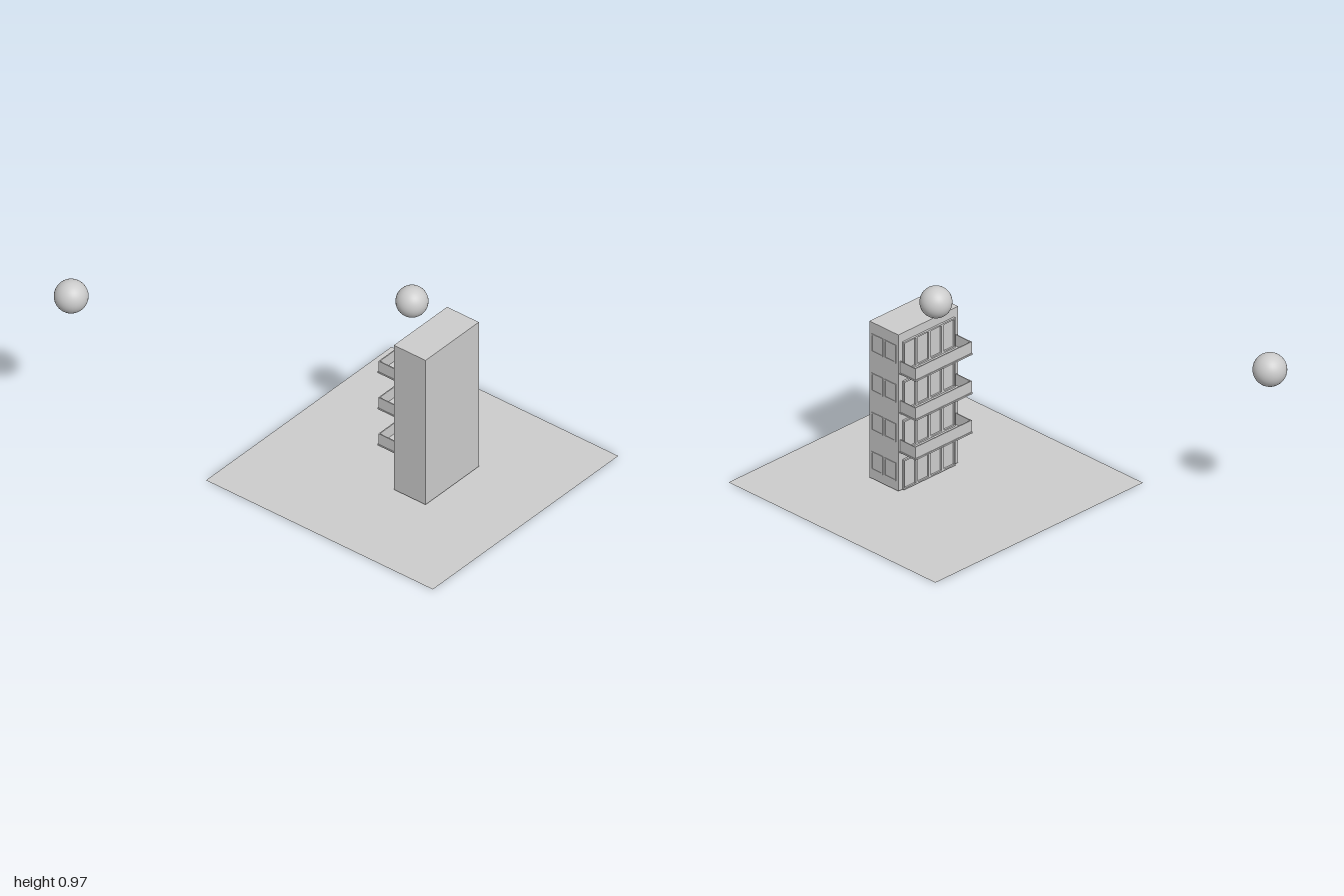
import * as THREE from 'three';

const grey = new THREE.MeshStandardMaterial({ color: 0xcccccc });
const greyDouble = new THREE.MeshStandardMaterial({ color: 0xcccccc, side: THREE.DoubleSide });

function add(parent, name, geometry, x, y, z, material = grey) {
  const mesh = new THREE.Mesh(geometry, material);
  mesh.name = name;
  mesh.position.set(x, y, z);
  parent.add(mesh);
  return mesh;
}

// Box given by its lower and upper corners
function box(parent, name, [x0, y0, z0], [x1, y1, z1]) {
  const geometry = new THREE.BoxGeometry(x1 - x0, y1 - y0, z1 - z0);
  return add(parent, name, geometry, (x0 + x1) / 2, (y0 + y1) / 2, (z0 + z1) / 2);
}

// Rectangular frame with an opening, centred in x and y, its back on z = 0
function frameGeometry(w, h, border, depth) {
  const rect = (path, a, b) => path.moveTo(-a, -b).lineTo(a, -b).lineTo(a, b).lineTo(-a, b).closePath();
  const shape = rect(new THREE.Shape(), w / 2, h / 2);
  shape.holes.push(rect(new THREE.Path(), w / 2 - border, h / 2 - border));
  return new THREE.ExtrudeGeometry(shape, { depth, bevelEnabled: false });
}

export function createModel() {
  const model = new THREE.Group();
  model.name = 'apartmentScene';

  const cx = 0.103, left = 0.286, right = -0.08, back = 0.41, front = 0.588;
  const base = 0.01, top = 0.786, storey = 0.195;

  // Ground sheet
  const ground = new THREE.PlaneGeometry(1.274, 1.274).rotateX(-Math.PI / 2);
  add(model, 'ground', ground, cx, 0, 0.363, greyDouble);

  // Main block
  box(model, 'buildingBlock', [right, base, back], [left, top, front]);

  const doorFrame = frameGeometry(0.079, 0.148, 0.007, 0.01);
  const windowFrame = frameGeometry(0.07, 0.09, 0.006, 0.003);

  for (let floor = 0; floor < 4; floor++) {
    const y = base + floor * storey;
    const storeyGroup = new THREE.Group();
    storeyGroup.name = 'storey';
    model.add(storeyGroup);

    // Row of four glazed doors on the back
    for (let i = 0; i < 4; i++) {
      const x = cx + (i - 1.5) * 0.079;
      const frame = add(storeyGroup, 'doorFrame', doorFrame, x, y + 0.074, back);
      frame.rotation.y = Math.PI;
      box(storeyGroup, 'doorGlass', [x - 0.033, y + 0.006, back - 0.002], [x + 0.033, y + 0.142, back]);
    }

    // Two windows on the side wall
    for (const z of [0.459, 0.539]) {
      const frame = add(storeyGroup, 'windowFrame', windowFrame, left, y + 0.09, z);
      frame.rotation.y = Math.PI / 2;
      box(storeyGroup, 'windowGlass', [left, y + 0.05, z - 0.03], [left + 0.001, y + 0.13, z + 0.03]);
    }

    // Balcony tray on the upper storeys
    if (floor > 0) {
      const balcony = new THREE.Group();
      balcony.name = 'balcony';
      model.add(balcony);
      const x0 = -0.07, x1 = 0.276, z0 = 0.315, t = 0.005;
      const yb = y - 0.007, yt = yb + 0.063;
      box(balcony, 'balconySlab', [x0 - 0.002, yb, z0 - 0.004], [x1 + 0.002, yb + 0.007, back]);
      box(balcony, 'balconyFrontWall', [x0, yb + 0.007, z0], [x1, yt, z0 + t]);
      box(balcony, 'balconySideWall', [x0, yb + 0.007, z0 + t], [x0 + t, yt, back]);
      box(balcony, 'balconySideWall', [x1 - t, yb + 0.007, z0 + t], [x1, yt, back]);
    }
  }

  // Floating spheres
  add(model, 'nearSphere', new THREE.SphereGeometry(0.072, 32, 20), cx, 0.898, 0.362);
  add(model, 'farSphere', new THREE.SphereGeometry(0.076, 32, 20), -0.666, 0.766, -0.924);

  return model;
}
